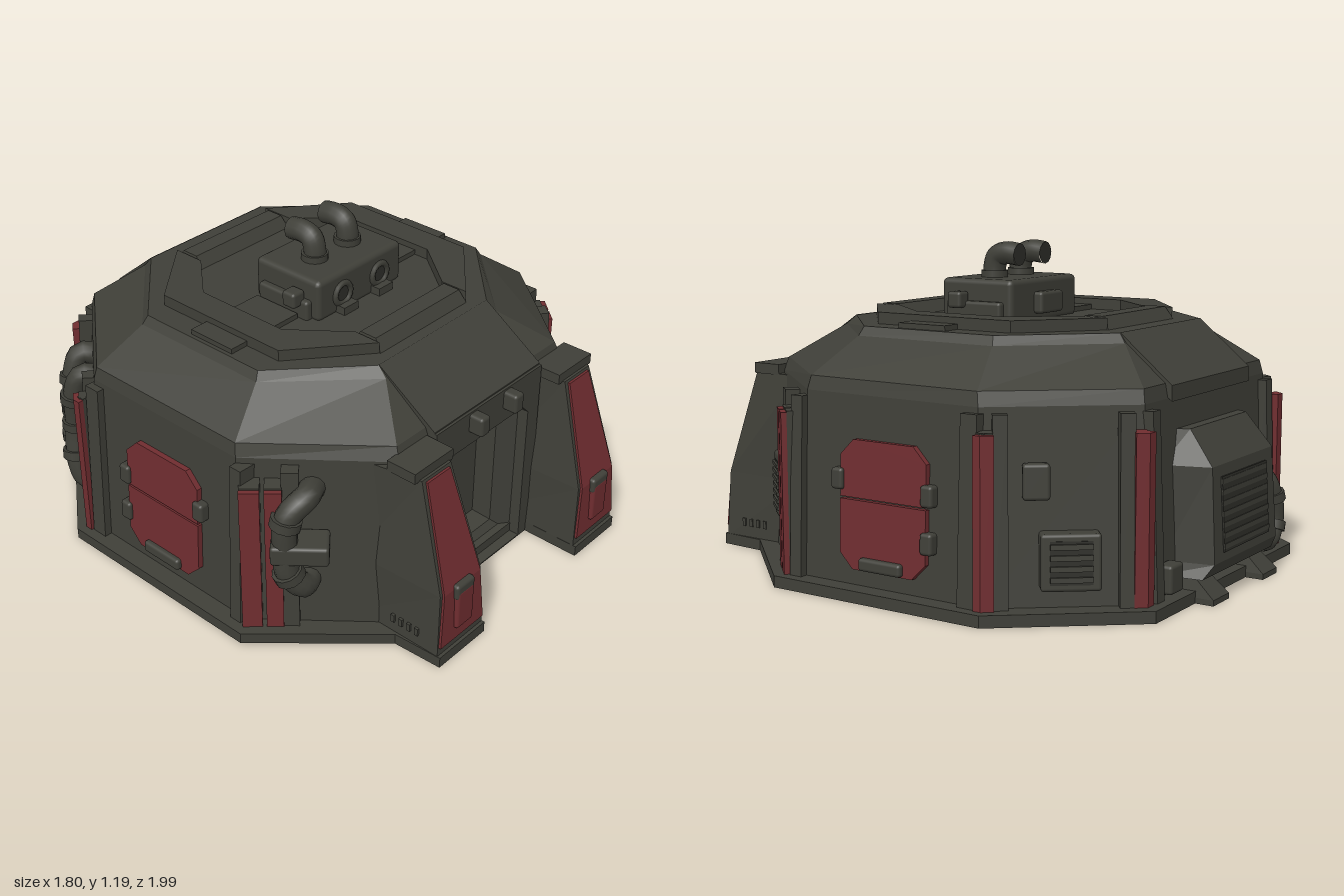
import * as THREE from 'three';
import { RoundedBoxGeometry } from 'three/addons/geometries/RoundedBoxGeometry.js';

const hull = new THREE.MeshStandardMaterial({ name: 'dark olive hull', color: 0x3f3f38 });
const red = new THREE.MeshStandardMaterial({ name: 'dull red', color: 0x702d30 });
const slot = new THREE.MeshStandardMaterial({ name: 'vent shadow', color: 0x2e2e29 });

function add(parent, name, geo, mat, x = 0, y = 0, z = 0) {
  const m = new THREE.Mesh(geo, mat);
  m.name = name;
  m.position.set(x, y, z);
  parent.add(m);
  return m;
}
const box = (p, name, mat, w, h, d, x, y, z) => add(p, name, new THREE.BoxGeometry(w, h, d), mat, x, y, z);
const soft = (p, name, mat, w, h, d, x, y, z, r = 0.012) =>
  add(p, name, new RoundedBoxGeometry(w, h, d, 2, r), mat, x, y, z);

// Eight-sided ring: side half width, front half width, then z of front, side front, side back, back
const oct = (y, hx, fx, zf, sf, sb, zb) =>
  [[fx, zf], [hx, sf], [hx, sb], [fx, zb], [-fx, zb], [-hx, sb], [-hx, sf], [-fx, zf]].map(([x, z]) => [x, y, z]);
// Four-sided ring with its own front and back half widths
const quad = (y, wf, wb, zf, zb) => [[wf, y, zf], [wb, y, zb], [-wb, y, zb], [-wf, y, zf]];

// Flat-faced skin through rings from first to last; the first cap is optional
function loft(rings, skip = () => false, capFirst = true) {
  const v = [], n = rings[0].length;
  for (let k = 0; k < rings.length - 1; k++) {
    const a = rings[k], b = rings[k + 1];
    for (let i = 0; i < n; i++) {
      const j = (i + 1) % n;
      if (!skip(k, i)) v.push(a[i], a[j], b[j], a[i], b[j], b[i]);
    }
  }
  const lo = rings[0], hi = rings[rings.length - 1];
  for (let i = 1; i < n - 1; i++) {
    v.push(hi[0], hi[i], hi[i + 1]);
    if (capFirst) v.push(lo[0], lo[i + 1], lo[i]);
  }
  const g = new THREE.BufferGeometry();
  g.setAttribute('position', new THREE.Float32BufferAttribute(v.flat(), 3));
  g.computeVertexNormals();
  return g;
}

const shapeOf = pts => new THREE.Shape(pts.map(([x, y]) => new THREE.Vector2(x, y)));
const extrude = (shape, depth) => new THREE.ExtrudeGeometry(shape, { depth, bevelEnabled: false });
// Flat outline given in x, z and raised along y
const slab = (pts, h) => extrude(shapeOf(pts.map(([x, z]) => [x, -z])), h).rotateX(-Math.PI / 2);
// Front panel with a doorway cut out
function doorPanel(outer, depth) {
  const s = shapeOf(outer);
  s.holes.push(shapeOf([[-0.235, 0.005], [0.235, 0.005], [0.235, 0.57], [0.2, 0.605], [-0.2, 0.605], [-0.235, 0.57]]));
  return extrude(s, depth);
}

// Wall foot, and the line the corner pillars stand on
const wall = oct(0.04, 0.83, 0.5, 0.75, 0.36, -0.44, -0.86);
const pillarLine = oct(0.04, 0.868, 0.52, 0.76, 0.38, -0.46, -0.885);
// Group standing on side i of a ring, x along the wall and z outward
function onWall(root, ring, i, name, lean = 0) {
  const a = ring[i], b = ring[(i + 1) % 8], g = new THREE.Group();
  g.name = name;
  g.position.set((a[0] + b[0]) / 2, 0.04, (a[2] + b[2]) / 2);
  g.rotation.set(-lean, Math.atan2(a[2] - b[2], b[0] - a[0]), 0, 'YXZ');
  g.userData.half = Math.hypot(b[0] - a[0], b[2] - a[2]) / 2;
  root.add(g);
  return g;
}

function vent(p, name, w, h, d, x, y, n) {
  soft(p, name + 'Housing', hull, w, h, d + 0.04, x, y, d / 2 - 0.02);
  box(p, name + 'Opening', slot, w * 0.7, h * 0.76, 0.006, x, y, d - 0.001);
  for (let i = 0; i < n; i++)
    box(p, name + 'Slat', hull, w * 0.7, h * 0.38 / n, 0.02, x, y + h * 0.76 * ((i + 0.5) / n - 0.5), d);
}

function pipe(p, name, pts, r, collars = []) {
  const curve = new THREE.CatmullRomCurve3(pts.map(q => new THREE.Vector3(...q)));
  add(p, name, new THREE.TubeGeometry(curve, 28, r, 12), hull);
  for (const t of collars) {
    const c = add(p, name + 'Collar', new THREE.CylinderGeometry(r * 1.25, r * 1.25, 0.035, 12), hull);
    c.position.copy(curve.getPointAt(t));
    c.quaternion.setFromUnitVectors(new THREE.Vector3(0, 1, 0), curve.getTangentAt(t));
  }
}

export function createModel() {
  const root = new THREE.Group();
  root.name = 'bunker';

  // Base plate with front plinths and door notch
  const half = [[0.28, 0.72], [0.28, 0.99], [0.53, 0.99], [0.54, 0.8], [0.9, 0.4], [0.9, -0.475], [0.54, -0.925]];
  add(root, 'basePlate', slab([...half, ...half.map(([x, z]) => [-x, z]).reverse()], 0.042), hull);

  // Walls and sloping roof
  add(root, 'body', loft([
    wall,
    oct(0.7, 0.805, 0.46, 0.73, 0.31, -0.41, -0.83),
    oct(0.75, 0.795, 0.45, 0.71, 0.3, -0.4, -0.82),
    oct(0.875, 0.62, 0.31, 0.54, 0.23, -0.34, -0.67),
    oct(0.908, 0.6, 0.3, 0.5, 0.22, -0.33, -0.645),
  ], (k, i) => k === 0 && i === 7, false), hull);

  // Front wall and tapering door recess
  add(root, 'frontWall', doorPanel([[-0.5, 0], [0.5, 0], [0.46, 0.705], [-0.46, 0.705]], 0.055), hull, 0, 0, 0.69);
  add(root, 'portal', doorPanel([[-0.3, 0], [0.3, 0], [0.3, 0.74], [-0.3, 0.74]], 0.03), hull, 0, 0, 0.73);
  add(root, 'doorRecess', loft([
    quad(0.72, 0.24, 0.24, 0, -0.61), quad(0.67, 0.17, 0.17, -0.07, -0.54), quad(0.59, 0.165, 0.165, -0.078, -0.535),
  ], undefined, false).rotateX(Math.PI / 2), hull);
  for (const x of [-0.095, 0.1]) soft(root, 'doorLamp', hull, 0.05, 0.075, 0.07, x, 0.695, 0.78);

  // Raised bands down the front and back of the roof
  for (const [z0, z1] of [[0.75, 0.5], [-0.845, -0.645]]) {
    const s = extrude(shapeOf([[z0, 0.69], [z0, 0.745], [z1, 0.91], [z1, 0.85]]), 0.6).rotateY(-Math.PI / 2);
    add(root, 'roofBand', s, hull, 0.3, 0, 0);
  }

  // Sloped front buttresses with red faces
  for (const s of [-1, 1]) {
    const g = new THREE.Group();
    g.name = 'buttress';
    g.position.x = s * 0.405;
    root.add(g);
    add(g, 'buttressBody', loft([
      quad(0.03, 0.125, 0.125, 0.978, 0.6), quad(0.29, 0.11, 0.125, 0.968, 0.6), quad(0.69, 0.076, 0.122, 0.845, 0.6),
    ]), hull);
    add(g, 'buttressFace', loft([
      quad(0.075, 0.117, 0.117, 0.986, 0.97), quad(0.29, 0.098, 0.098, 0.977, 0.961), quad(0.68, 0.06, 0.06, 0.857, 0.84),
    ]), red);
    box(g, 'buttressCap', hull, 0.2, 0.04, 0.12, 0, 0.705, 0.775);
    soft(g, 'buttressBox', red, 0.09, 0.16, 0.03, 0, 0.2, 0.982);
    soft(g, 'buttressBoxCap', hull, 0.095, 0.06, 0.04, 0, 0.275, 0.976);
    for (let i = 0; i < 4; i++) box(g, 'buttressBolt', hull, 0.012, 0.03, 0.015, s * 0.124, 0.1, 0.78 + i * 0.035);
  }

  // Red strips on the corner pillars: [wall, end, offset, width, thickness]
  const redStrips = [
    [0, 1, 0, 0.07, 0.02], [0, 1, 0.085, 0.06, 0.02], [1, 1, 0, 0.03, 0.02],
    [2, 0, 0, 0.045, 0.02], [2, 1, 0, 0.045, 0.08], [3, 0, 0, 0.04, 0.08],
  ];
  // Leaning pillar ribs beside them: [wall, end, offset, width]
  const ribs = [[0, 1, 0.13, 0.06], [1, 0, 0, 0.05], [1, 1, 0.015, 0.065], [2, 0, 0.035, 0.05], [2, 1, 0.035, 0.05], [3, 0, 0.035, 0.05]];
  for (const mirror of [false, true]) {
    const place = (i, end) => [mirror ? 6 - i : i, (end ? 1 : -1) * (mirror ? -1 : 1)];
    for (const [i, end, off, w, d] of redStrips) {
      const [side, dir] = place(i, end);
      const g = onWall(root, pillarLine, side, 'cornerPillar');
      const x = dir * (g.userData.half - off - w / 2);
      box(g, 'redStrip', red, w, 0.58, d, x, 0.29, -d / 2);
      box(g, 'stripBacking', hull, w, 0.585, 0.08, x, 0.2925, -d - 0.04);
    }
    for (const [i, end, off, w] of ribs) {
      const [side, dir] = place(i, end);
      const g = onWall(root, wall, side, 'pillarRib', 0.04);
      box(g, 'rib', hull, w, 0.64, 0.07, dir * (g.userData.half - off - w / 2), 0.32, -0.005);
    }
  }

  // Red side hatches with hinges and step
  for (const i of [1, 5]) {
    const g = onWall(root, wall, i, 'sideHatch', 0.035);
    const [w, c] = [0.182, 0.055];
    for (const [y0, y1, cut] of [[0.06, 0.302, -1], [0.31, 0.51, 1]]) {
      const [t, b] = cut > 0 ? [c, 0] : [0, c];
      add(g, 'hatchLeaf', extrude(shapeOf([[-w + b, y0], [w - b, y0], [w, y0 + b], [w, y1 - t], [w - t, y1],
        [-w + t, y1], [-w, y1 - t], [-w, y0 + b]]), 0.03), red, 0, 0, -0.01);
    }
    const s = i === 1 ? 1 : -1;
    for (const [x, y] of [[-0.19, 0.37], [0.19, 0.35], [0.19, 0.19]])
      soft(g, 'hatchHinge', hull, 0.05, 0.075, 0.05, s * x, y, 0.01);
    soft(g, 'hatchStep', hull, 0.18, 0.045, 0.04, 0, 0.085, 0.02);
  }

  // Equipment on the slanted walls
  const fr = onWall(root, wall, 0, 'frontRightVent');
  vent(fr, 'tallVent', 0.15, 0.24, 0.025, 0, 0.27, 7);
  const br = onWall(root, wall, 2, 'backRightEquipment', 0.04);
  vent(br, 'squareVent', 0.2, 0.19, 0.06, 0.02, 0.16, 4);
  soft(br, 'switchBox', hull, 0.09, 0.12, 0.05, -0.09, 0.42, 0.01);
  const fl = onWall(root, wall, 6, 'frontLeftPipe');
  pipe(fl, 'wallPipe', [[-0.02, 0.55, -0.05], [-0.04, 0.555, 0.02], [-0.1, 0.5, 0.055], [-0.11, 0.36, 0.055],
    [-0.1, 0.26, 0.055], [-0.05, 0.19, 0.03], [-0.03, 0.185, -0.05]], 0.045, [0.32, 0.7]);
  soft(fl, 'pipeClamp', hull, 0.2, 0.075, 0.12, -0.06, 0.36, 0.04);
  const bl = onWall(root, wall, 4, 'backLeftPipes', 0.04);
  for (const s of [-1, 1])
    pipe(bl, 'wallPipe', [[s * 0.08, 0.55, -0.05], [s * 0.08, 0.56, 0.03], [s * 0.07, 0.48, 0.06], [s * 0.05, 0.32, 0.06],
      [s * 0.07, 0.16, 0.06], [s * 0.08, 0.09, 0.03], [s * 0.08, 0.09, -0.04]], 0.042, [0.3, 0.5, 0.7]);

  // Back air unit, its grille, feet and pipe
  const back = onWall(root, pillarLine, 3, 'backUnit');
  add(back, 'airUnit', loft([quad(0.05, 0.28, 0.3, 0.075, -0.08), quad(0.1, 0.25, 0.29, 0.105, -0.08),
    quad(0.43, 0.24, 0.29, 0.085, -0.08), quad(0.55, 0.22, 0.27, -0.01, -0.1)]), hull);
  box(back, 'grilleOpening', slot, 0.36, 0.26, 0.008, 0, 0.26, 0.097).rotation.x = -0.06;
  for (let i = 0; i < 7; i++)
    box(back, 'grilleSlat', hull, 0.36, 0.018, 0.016, 0, 0.15 + i * 0.037, 0.102 - i * 0.0025);
  for (const s of [-1, 1])
    add(back, 'backFoot', loft([quad(-0.04, 0.06, 0.06, 0.108, -0.02), quad(-0.02, 0.06, 0.06, 0.108, -0.02),
      quad(0.05, 0.05, 0.05, 0.03, -0.02)]), hull, s * 0.2, 0, 0);
  pipe(back, 'backPipe', [[0.38, 0.29, -0.05], [0.38, 0.28, 0.0], [0.41, 0.2, 0.02], [0.42, 0.11, 0.02],
    [0.38, 0.05, 0.02], [0.31, 0.05, 0.01]], 0.038, [0.35, 0.65]);
  soft(back, 'backBox', hull, 0.09, 0.1, 0.06, -0.37, 0.07, 0);

  // Raised roof frames on both sides
  for (const s of [-1, 1]) {
    const pts = [[0.24, -0.56], [0.51, -0.34], [0.51, 0.23], [0.24, 0.45], [0.24, 0.34], [0.4, 0.14], [0.4, -0.25], [0.24, -0.43]]
      .map(([x, z]) => [s * x, z]);
    add(root, 'roofFrame', slab(pts, 0.05), hull, 0, 0.9, 0);
    box(root, 'roofPad', hull, 0.33, 0.03, 0.2, s * 0.42, 0.912, -0.02);
  }
  for (const z of [-0.5, 0.39])
    add(root, 'roofBar', loft([quad(0.9, 0.24, 0.24, z + 0.07, z - 0.07), quad(0.953, 0.23, 0.23, z + 0.035, z - 0.035)]), hull);

  // Roof unit with ports and bent chimneys
  soft(root, 'roofUnit', hull, 0.45, 0.16, 0.31, 0, 0.98, 0, 0.02);
  for (const s of [-1, 1]) {
    soft(root, 'roofUnitSide', hull, 0.04, 0.08, 0.24, s * 0.23, 0.94, 0);
    soft(root, 'roofUnitClip', hull, 0.06, 0.06, 0.06, s * 0.255, 0.985, 0.06);
    const port = add(root, 'roofPort', new THREE.TorusGeometry(0.04, 0.012, 8, 16), hull, s * 0.1, 0.975, 0.156);
    add(port, 'portGlass', new THREE.CircleGeometry(0.036, 16), slot, 0, 0, 0.002);
    box(root, 'roofTab', hull, 0.075, 0.03, 0.06, s * 0.095, 0.925, 0.165);
    const x = s * 0.088;
    pipe(root, 'chimney', [[x, 1.04, 0.01], [x, 1.1, 0.01], [x, 1.138, -0.005], [x, 1.15, -0.045], [x, 1.145, -0.1]], 0.042);
    add(root, 'chimneyBase', new THREE.CylinderGeometry(0.05, 0.05, 0.03, 16), hull, x, 1.07, 0.01);
    add(root, 'chimneyMouth', new THREE.CircleGeometry(0.042, 12).rotateY(Math.PI), slot, x, 1.145, -0.1);
  }
  soft(root, 'roofUnitBack', hull, 0.15, 0.08, 0.05, 0, 0.97, -0.165);
  return root;
}
